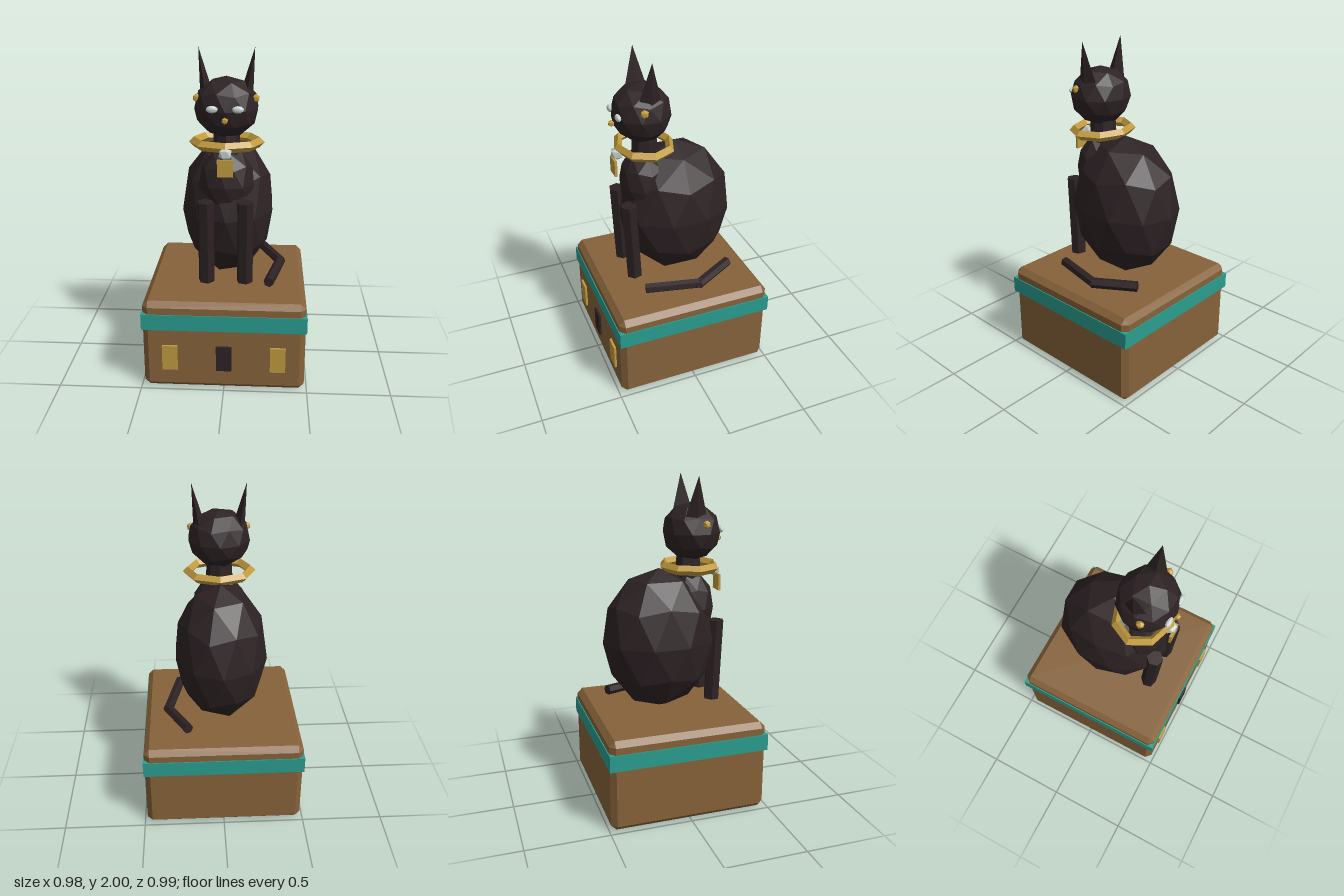
import * as THREE from 'three';
import { ConvexGeometry } from 'three/addons/geometries/ConvexGeometry.js';

const material = (name, color) => {
  const m = new THREE.MeshStandardMaterial({ color, flatShading: true });
  m.name = name;
  return m;
};

// Icosphere standing on a pole, scaled to an ellipsoid
function ico(rx, ry, rz, detail = 1) {
  return new THREE.IcosahedronGeometry(1, detail)
    .rotateX(-Math.atan((1 + Math.sqrt(5)) / 2))
    .rotateY(Math.PI / 2)
    .scale(rx, ry, rz);
}

// Box with all edges chamfered by c
function chamferedBox(w, h, d, c) {
  const points = [];
  for (const x of [-1, 1]) for (const y of [-1, 1]) for (const z of [-1, 1]) {
    const [a, b, e] = [x * w / 2, y * h / 2, z * d / 2];
    points.push(
      new THREE.Vector3(a, b - y * c, e - z * c),
      new THREE.Vector3(a - x * c, b, e - z * c),
      new THREE.Vector3(a - x * c, b - y * c, e));
  }
  return new ConvexGeometry(points);
}

// Capped rod between two points
function rod(from, to, radius, sides) {
  const a = new THREE.Vector3(...from), b = new THREE.Vector3(...to);
  const dir = b.clone().sub(a);
  const g = new THREE.CylinderGeometry(radius, radius, dir.length(), sides);
  g.applyQuaternion(new THREE.Quaternion().setFromUnitVectors(
    new THREE.Vector3(0, 1, 0), dir.normalize()));
  const mid = a.add(b).multiplyScalar(0.5);
  return g.translate(mid.x, mid.y, mid.z);
}

export function createModel() {
  const wood = material('wood', 0x86623a);
  const teal = material('teal', 0x2a9d8f);
  const gold = material('gold', 0xc09a3e);
  const fur = material('dark fur', 0x2d2224);
  const silver = material('silver', 0xc8d4d2);

  const model = new THREE.Group();
  model.name = 'catStatue';
  const add = (name, geometry, mat, x = 0, y = 0, z = 0) => {
    const mesh = new THREE.Mesh(geometry, mat);
    mesh.name = name;
    mesh.position.set(x, y, z);
    model.add(mesh);
    return mesh;
  };

  // Pedestal with band and front plaques
  add('pedestal', chamferedBox(0.968, 0.565, 0.968, 0.033), wood, 0, 0.2825, -0.004);
  add('pedestalBand', new THREE.BoxGeometry(0.98, 0.1, 0.98), teal, 0, 0.44, -0.004);
  for (const [name, x, mat] of [['rightPlaque', -0.322, gold],
    ['middlePlaque', 0, fur], ['leftPlaque', 0.322, gold]]) {
    add(name, new THREE.BoxGeometry(0.092, 0.16, 0.02), mat, x, 0.21, 0.484);
  }

  // Body, chest, neck and head
  add('body', ico(0.289, 0.4425, 0.357), fur, 0, 1.0075, -0.048);
  add('chest', ico(0.17, 0.22, 0.15), fur, 0, 1.21, 0.148);
  add('neck', new THREE.CylinderGeometry(0.075, 0.085, 0.16, 8), fur, 0, 1.44, 0.14);
  add('head', ico(0.19, 0.177, 0.177), fur, 0, 1.663, 0.158);
  add('nose', ico(0.02, 0.02, 0.02, 0), gold, 0, 1.618, 0.336);

  // Paired parts
  for (const [side, s] of [['left', 1], ['right', -1]]) {
    const ear = add(side + 'Ear',
      new THREE.ConeGeometry(1, 1, 4).scale(0.036, 0.26, 0.072),
      fur, s * 0.138, 1.872, 0.145);
    ear.rotation.z = -s * 0.167;

    add(side + 'Eye', ico(0.034, 0.021, 0.017), silver, s * 0.072, 1.678, 0.318);
    add(side + 'EarStud', ico(0.024, 0.026, 0.026, 0), gold, s * 0.168, 1.72, 0.195);

    const leg = add(side + 'FrontLeg',
      new THREE.CylinderGeometry(0.05, 0.05, 0.51, 6).rotateY(0.25),
      fur, s * 0.115, 0.875, 0.273);
    leg.rotation.x = 0.045;
  }

  // Tail lying on the pedestal, curled along the left side
  add('tailBase', rod([0.21, 0.622, -0.335], [0.34, 0.605, -0.08], 0.032, 6), fur);
  add('tailTip', rod([0.337, 0.605, -0.1], [0.26, 0.603, 0.24], 0.032, 6), fur);

  // Collar with gem and hanging tag
  add('collar', new THREE.TorusGeometry(0.192, 0.03, 4, 8)
    .rotateX(Math.PI / 2).scale(1, 1, 0.82), gold, 0, 1.455, 0.145);
  add('collarGem', ico(0.042, 0.042, 0.042, 0), silver, 0, 1.425, 0.308);
  add('collarTag', new THREE.BoxGeometry(0.09, 0.1, 0.015), gold, 0, 1.345, 0.332);

  return model;
}
